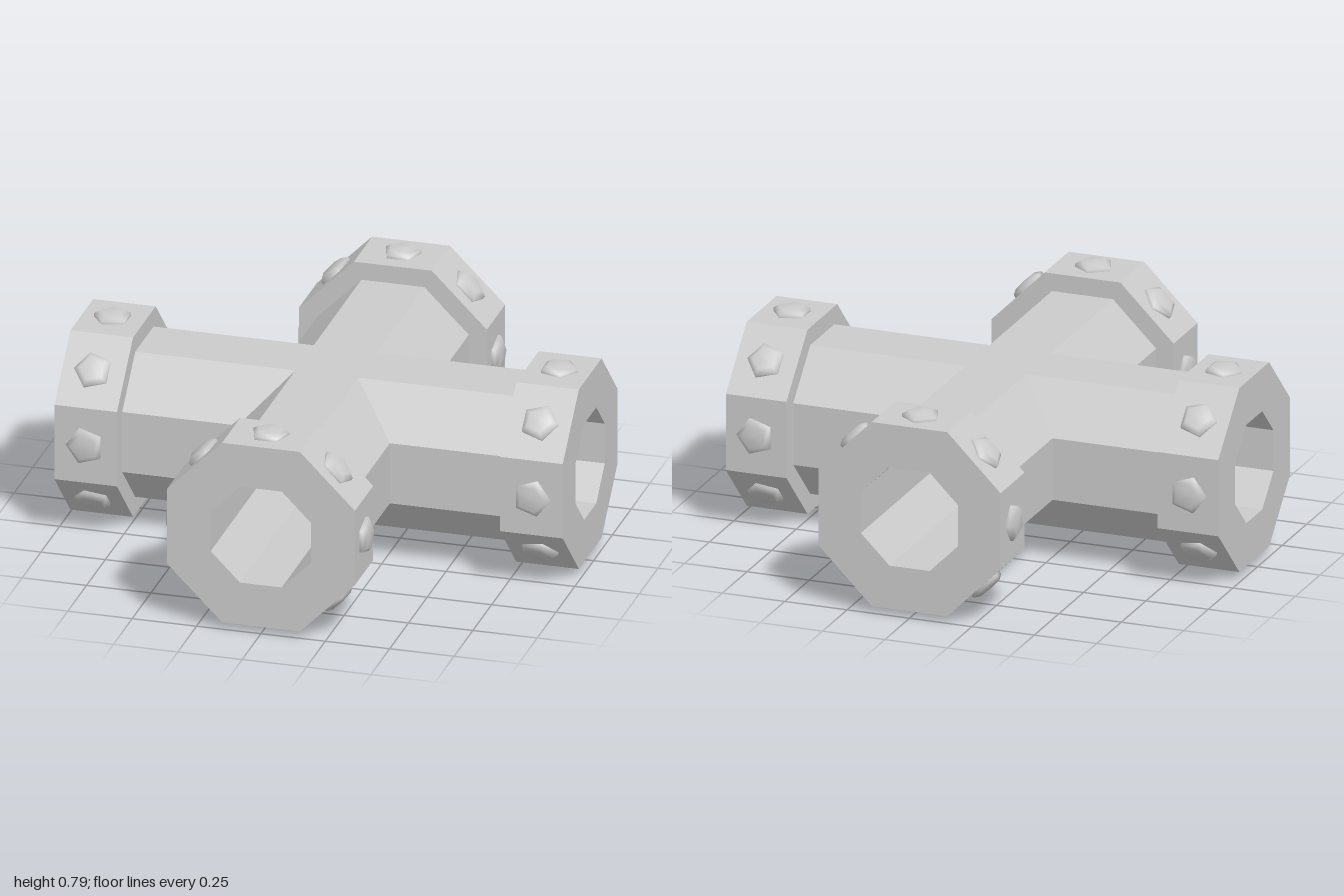
import * as THREE from 'three';

const CENTRE_Y = 0.393;
const PIPE = 0.295, COLLAR = 0.365, BORE = 0.195; // distances from axis to flats
const COLLAR_LENGTH = 0.243;
const MITRE = 'mitre';

const material = new THREE.MeshStandardMaterial({ color: 0xcccccc, flatShading: true });
const rivetMaterial = new THREE.MeshStandardMaterial({ color: 0xcccccc });

// Octagon with flats up, plus a midpoint on the top and bottom flats for the mitre
function octagon(apothem) {
  const h = apothem * Math.tan(Math.PI / 8), a = apothem;
  return [[a, -h], [a, h], [h, a], [0, a], [-h, a], [-a, h], [-a, -h], [-h, -a], [0, -a], [h, -a]];
}

// Skin a list of [apothem, z] rings; a mitred ring meets the neighbouring arms at 45 degrees
function skin(sections) {
  const rings = sections.map(([apothem, z]) =>
    octagon(apothem).map(([x, y]) => [x, y, z === MITRE ? Math.abs(x) : z]));
  const positions = [];
  for (let r = 0; r < rings.length - 1; r++) {
    const n = rings[r].length;
    for (let i = 0; i < n; i++) {
      const j = (i + 1) % n;
      const a = rings[r][i], b = rings[r][j], c = rings[r + 1][j], d = rings[r + 1][i];
      positions.push(...a, ...b, ...c, ...a, ...c, ...d);
    }
  }
  const geometry = new THREE.BufferGeometry();
  geometry.setAttribute('position', new THREE.Float32BufferAttribute(positions, 3));
  geometry.computeVertexNormals();
  return geometry;
}

function addMesh(parent, name, geometry, mat) {
  const mesh = new THREE.Mesh(geometry, mat);
  mesh.name = name;
  parent.add(mesh);
  return mesh;
}

// Five-sided domed rivet head
const rivetGeometry = new THREE.LatheGeometry(
  [[0.073, -0.005], [0.073, 0.012], [0.05, 0.026], [0, 0.028]].map(p => new THREE.Vector2(...p)), 5);

function createArm(name, length, rivetTurn) {
  const arm = new THREE.Group();
  arm.name = name;
  const start = length - COLLAR_LENGTH;

  // Pipe wall, flange collar and inner bore
  addMesh(arm, 'pipe', skin([[PIPE, MITRE], [PIPE, start]]), material);
  addMesh(arm, 'collar', skin([[PIPE, start], [COLLAR, start], [COLLAR, length], [BORE, length]]), material);
  addMesh(arm, 'bore', skin([[BORE, length], [BORE, MITRE]]), material);

  // One rivet on each flat of the collar
  for (let i = 0; i < 8; i++) {
    const holder = new THREE.Group();
    holder.name = 'rivetHolder';
    holder.rotation.z = i * Math.PI / 4;
    const rivet = addMesh(holder, 'rivet', rivetGeometry, rivetMaterial);
    rivet.position.set(0, COLLAR, length - 0.12);
    rivet.rotation.y = rivetTurn;
    arm.add(holder);
  }
  return arm;
}

export function createModel() {
  const model = new THREE.Group();
  model.name = 'pipeCross';
  const arms = [
    ['frontArm', 1, Math.PI],
    ['leftArm', 0.987, 0],
    ['backArm', 1, 0],
    ['rightArm', 0.987, 0],
  ];
  arms.forEach(([name, length, rivetTurn], k) => {
    const arm = createArm(name, length, rivetTurn);
    arm.rotation.y = k * Math.PI / 2;
    arm.position.y = CENTRE_Y;
    model.add(arm);
  });
  return model;
}
